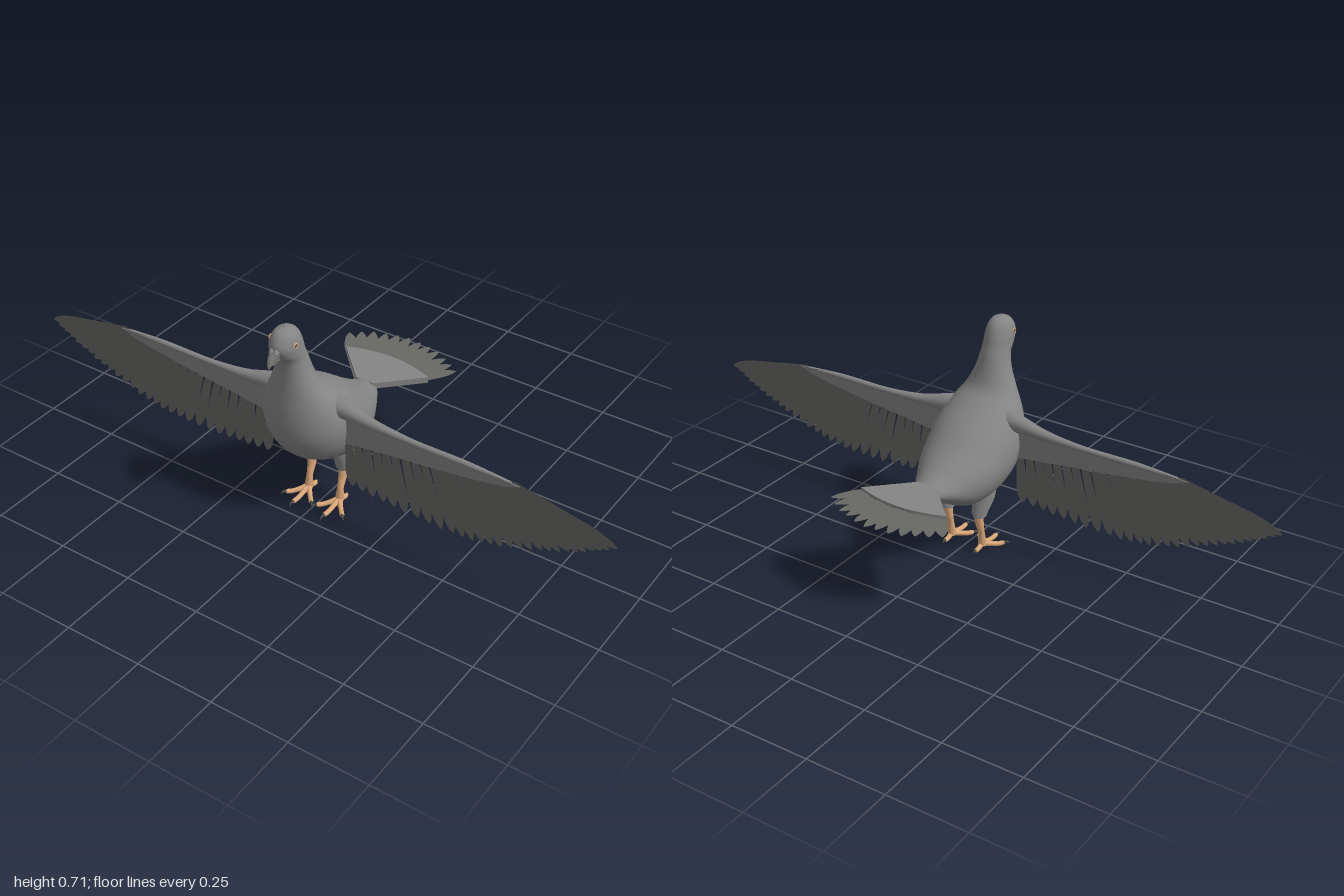
import * as THREE from 'three';

const mat = (name, color, side = THREE.FrontSide) => {
  const m = new THREE.MeshStandardMaterial({ color, side });
  m.name = name;
  return m;
};
const V = (x, y, z) => new THREE.Vector3(x, y, z);

export function createModel() {
  const plumage = mat('grey plumage', 0x858585);
  const quill = mat('dark flight feathers', 0x686864, THREE.DoubleSide);
  const skin = mat('tan skin', 0xd9a678);
  const horn = mat('dark horn', 0x4c4c4a);
  const beakGrey = mat('beak grey', 0x727270);

  const model = new THREE.Group();
  model.name = 'bird';
  const add = (name, geometry, material, parent = model) => {
    const mesh = new THREE.Mesh(geometry, material);
    mesh.name = name;
    parent.add(mesh);
    return mesh;
  };
  const group = (name, parent = model) => {
    const g = new THREE.Group();
    g.name = name;
    parent.add(g);
    return g;
  };

  // Tube along points [x, y, z, radius]
  function taper(points, segments = 16, sides = 12) {
    const curve = new THREE.CatmullRomCurve3(points.map(p => V(p[0], p[1], p[2])));
    const radii = new THREE.CatmullRomCurve3(points.map(p => V(p[3], 0, 0)), false, 'catmullrom');
    const geo = new THREE.TubeGeometry(curve, segments, 1, sides);
    const pos = geo.attributes.position, v = V(0, 0, 0);
    for (let i = 0; i < pos.count; i++) {
      const u = Math.floor(i / (sides + 1)) / segments;
      const c = curve.getPointAt(u);
      const r = Math.max(0, radii.getPoint(curve.getUtoTmapping(u)).x);
      v.fromBufferAttribute(pos, i).sub(c).multiplyScalar(r).add(c);
      pos.setXYZ(i, v.x, v.y, v.z);
    }
    return geo;
  }

  // Smooth skin through rings [frontZ, frontY, backZ, backY, halfWidth]
  function loft(rings, steps, sides) {
    const spline = f => new THREE.CatmullRomCurve3(rings.map(f), false, 'catmullrom');
    const front = spline(r => V(0, r[1], r[0]));
    const back = spline(r => V(0, r[3], r[2]));
    const width = spline(r => V(r[4], 0, 0));
    const pos = [], index = [];
    for (let i = 0; i <= steps; i++) {
      const t = i / steps, f = front.getPoint(t), b = back.getPoint(t);
      const c = f.clone().add(b).multiplyScalar(0.5), w = width.getPoint(t).x;
      for (let j = 0; j < sides; j++) {
        const a = j / sides * Math.PI * 2, k = Math.cos(a);
        pos.push(Math.sin(a) * w, c.y + k * (f.y - c.y), c.z + k * (f.z - c.z));
        if (i === steps) continue;
        const n = (j + 1) % sides, A = i * sides + j, B = i * sides + n;
        index.push(A, A + sides, B, B, A + sides, B + sides);
      }
    }
    const geo = new THREE.BufferGeometry();
    geo.setAttribute('position', new THREE.Float32BufferAttribute(pos, 3));
    geo.setIndex(index);
    geo.computeVertexNormals();
    return geo;
  }

  // Flat feather from root to tip, with a rounded point
  function feather(rx, ry, tx, ty, rootHalf, half) {
    const dx = tx - rx, dy = ty - ry, len = Math.hypot(dx, dy);
    const at = (u, w) => [rx + dx * u - dy / len * w, ry + dy * u + dx / len * w];
    const s = new THREE.Shape();
    s.moveTo(...at(0, rootHalf));
    s.lineTo(...at(0.72, half));
    s.quadraticCurveTo(...at(0.93, half * 0.9), ...at(1, 0));
    s.quadraticCurveTo(...at(0.93, -half * 0.9), ...at(0.72, -half));
    s.lineTo(...at(0, -rootHalf));
    return new THREE.ShapeGeometry(s, 6);
  }
  const plate = (shape, depth) => new THREE.ExtrudeGeometry(shape, { depth, bevelEnabled: false, curveSegments: 12 })
    .translate(0, 0, -depth / 2);

  // Head, neck and body in one skin
  add('body', loft([
    [0.306, 0.713, 0.304, 0.713, 0.001], [0.333, 0.705, 0.276, 0.706, 0.024],
    [0.350, 0.686, 0.258, 0.688, 0.037], [0.358, 0.660, 0.246, 0.660, 0.043],
    [0.345, 0.630, 0.238, 0.630, 0.044], [0.325, 0.605, 0.228, 0.600, 0.046],
    [0.318, 0.560, 0.213, 0.550, 0.058], [0.320, 0.500, 0.192, 0.505, 0.082],
    [0.326, 0.430, 0.150, 0.475, 0.112], [0.325, 0.370, 0.100, 0.442, 0.132],
    [0.312, 0.315, 0.055, 0.408, 0.141], [0.275, 0.255, 0.020, 0.380, 0.141],
    [0.215, 0.210, -0.005, 0.362, 0.134], [0.150, 0.182, -0.030, 0.345, 0.120],
    [0.080, 0.174, -0.050, 0.332, 0.101], [0.030, 0.188, -0.070, 0.321, 0.084],
    [-0.030, 0.222, -0.090, 0.311, 0.064], [-0.090, 0.256, -0.110, 0.302, 0.040],
    [-0.118, 0.275, -0.120, 0.297, 0.022], [-0.121, 0.286, -0.121, 0.287, 0.001],
  ], 76, 40), plumage);

  // Beak with a fleshy swelling above the hooked tip
  const beak = group('beak');
  add('upperBeak', taper([[0, 0.648, 0.335, 0.017], [0, 0.645, 0.358, 0.015], [0, 0.634, 0.373, 0.010],
    [0, 0.620, 0.381, 0.005], [0, 0.610, 0.382, 0]]), beakGrey, beak);
  add('lowerBeak', taper([[0, 0.627, 0.330, 0.012], [0, 0.628, 0.350, 0.010], [0, 0.622, 0.366, 0.006],
    [0, 0.617, 0.373, 0]]), beakGrey, beak);
  for (const s of [1, -1]) {
    const cere = add('cere', new THREE.SphereGeometry(1, 14, 10), plumage, beak);
    cere.scale.set(0.009, 0.010, 0.015);
    cere.position.set(s * 0.007, 0.656, 0.354);
    cere.rotation.x = 0.7;
  }

  // Wing feathers: root x, y and tip x, y from body to wing tip
  const fan = [
    [0.14, 0.34, 0.155, 0.16], [0.28, 0.36, 0.32, 0.147], [0.42, 0.375, 0.50, 0.143],
    [0.54, 0.385, 0.64, 0.165], [0.62, 0.39, 0.78, 0.215], [0.66, 0.395, 0.90, 0.268], [0.68, 0.398, 1.0, 0.325],
  ];
  const roots = new THREE.CatmullRomCurve3(fan.map(p => V(p[0], p[1], 0)), false, 'catmullrom');
  const tips = new THREE.CatmullRomCurve3(fan.map(p => V(p[2], p[3], 0)), false, 'catmullrom');
  const feathers = 28;

  for (const s of [1, -1]) {
    const side = s > 0 ? 'left' : 'right';

    // Eye
    const eye = group(side + 'Eye');
    eye.position.set(s * 0.0425, 0.669, 0.313);
    add('eyeRing', new THREE.TorusGeometry(0.0075, 0.0022, 8, 20).rotateY(Math.PI / 2), skin, eye);
    add('pupil', new THREE.SphereGeometry(0.006, 12, 8).scale(0.4, 1, 1), horn, eye);

    // Wing
    const wing = group(side + 'Wing');
    add('wingArm', taper([[s * 0.07, 0.432, 0.203, 0.038], [s * 0.14, 0.424, 0.203, 0.027],
      [s * 0.22, 0.412, 0.203, 0.017], [s * 0.35, 0.405, 0.203, 0.010],
      [s * 0.55, 0.405, 0.203, 0.009], [s * 0.70, 0.400, 0.203, 0.001]], 32), plumage, wing);
    const coverts = new THREE.Shape([[0.09, 0.425], [0.2, 0.415], [0.35, 0.410], [0.58, 0.411], [0.70, 0.402],
      [0.66, 0.386], [0.58, 0.370], [0.46, 0.352], [0.3, 0.333], [0.14, 0.312], [0.09, 0.31]]
      .map(([x, y]) => new THREE.Vector2(s * x, y)));
    add('wingCoverts', plate(coverts, 0.009).translate(0, 0, 0.203), plumage, wing);
    for (let i = 0; i < feathers; i++) {
      const t = i / (feathers - 1), r = roots.getPoint(t), p = tips.getPoint(t);
      add('flightFeather', feather(s * r.x, r.y, s * p.x, p.y, 0.012, 0.020)
        .translate(0, 0, 0.2015 + (i % 3) * 0.0015), quill, wing);
    }

    // Leg and foot
    const leg = group(side + 'Leg');
    const x = s * 0.057;
    add('thigh', taper([[s * 0.062, 0.260, 0.110, 0.046], [s * 0.063, 0.205, 0.115, 0.040],
      [s * 0.060, 0.160, 0.110, 0.028], [x, 0.128, 0.105, 0.021], [x, 0.118, 0.105, 0.001]], 20, 18), plumage, leg);
    add('shank', taper([[x, 0.135, 0.103, 0.015], [x, 0.095, 0.110, 0.013], [x, 0.060, 0.121, 0.010],
      [x, 0.030, 0.125, 0.013], [x, 0.012, 0.127, 0.012], [x, 0.006, 0.127, 0]]), skin, leg);
    // Toes: direction angle, length
    for (const [a, len] of [[0, 0.09], [0.72, 0.078], [-0.72, 0.078], [Math.PI, 0.043]]) {
      const at = (d, y, r) => [x + Math.sin(a) * d * len, y, 0.127 + Math.cos(a) * d * len, r];
      add('toe', taper([at(0, 0.020, 0.011), at(0.35, 0.013, 0.008), at(0.65, 0.009, 0.0075),
        at(0.88, 0.010, 0.007), at(0.96, 0.009, 0)], 14, 10), skin, leg);
      add('claw', taper([at(0.85, 0.011, 0.005), at(1.0, 0.012, 0.004), at(1.1, 0.008, 0.002), at(1.14, 0.002, 0)], 8, 8), horn, leg);
    }
  }

  // Fanned tail
  const tail = group('tail');
  for (let i = 0; i < 12; i++) {
    const a = (i / 11 - 0.5) * 1.38, len = 0.32 - 0.012 * Math.abs(a);
    add('tailFeather', feather(0, 0.06, Math.sin(a) * len, 0.06 + Math.cos(a) * len, 0.006, 0.023)
      .rotateX(-Math.PI / 2).translate(0, 0.2985 + (i % 3) * 0.0015, 0), quill, tail);
  }
  const cover = new THREE.Shape();
  cover.moveTo(0.03, 0.09);
  cover.lineTo(0.152, 0.213);
  cover.quadraticCurveTo(0, 0.277, -0.152, 0.213);
  cover.lineTo(-0.03, 0.09);
  add('tailCoverts', plate(cover, 0.02).rotateX(-Math.PI / 2).translate(0, 0.3, 0), plumage, tail);

  return model;
}
